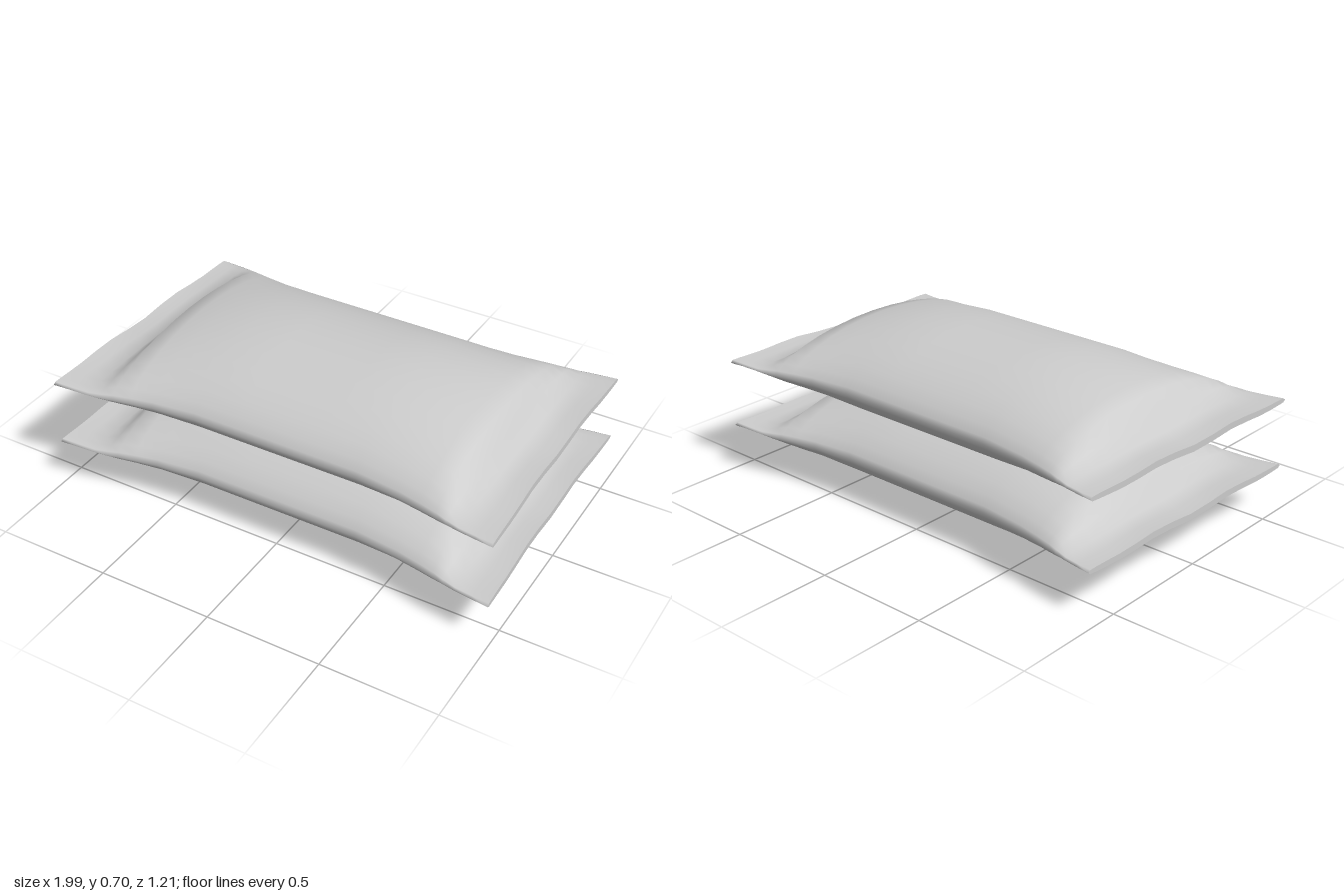
import * as THREE from 'three';

// Stations along x: [x, half height, half width in z, roundness power of the section]
const HALF = [
  [0, 0.203, 0.51, 1.3],
  [0.18, 0.203, 0.51, 1.3],
  [0.37, 0.203, 0.51, 1.3],
  [0.56, 0.175, 0.53, 1.3],
  [0.66, 0.157, 0.55, 1.3],
  [0.735, 0.137, 0.567, 1.3],
  [0.785, 0.07, 0.58, 1.1],
  [0.84, 0.018, 0.59, 0.7],
  [0.91, 0.011, 0.597, 0.4],
  [0.98, 0.014, 0.604, 0.3],
];
const SEGMENTS = 32;
const RIM_Y = 0.203;
const STACK_STEP = 0.29;

// Gentle waviness of the flat end seals, u runs -1..1 along z
const sealWave = (u, side) =>
  0.008 * Math.cos(u * 8 + side * 0.4) * (1 - u * u) * -1 - 0.005 * u * side;

function sackGeometry() {
  const stations = [
    ...HALF.slice(1).reverse().map(([x, ...rest]) => [-x, ...rest]),
    ...HALF,
  ];
  const positions = [];
  const index = [];

  // Cross-section rings, pinched towards the seals
  for (const [x, h, w, p] of stations) {
    const side = Math.sign(x);
    const seal = THREE.MathUtils.smoothstep(Math.abs(x), 0.78, 0.98);
    for (let j = 0; j < SEGMENTS; j++) {
      const a = (j / SEGMENTS) * Math.PI * 2;
      const u = Math.cos(a);
      const s = Math.sin(a);
      const y = Math.abs(s) < 1e-6 ? 0 : Math.sign(s) * h * Math.pow(Math.abs(s), p);
      const skew = side < 0 ? -0.02 * u : 0.012 * u * u - 0.006 + 0.003 * u;
      positions.push(x + seal * skew, RIM_Y + y + seal * sealWave(u, side), w * u);
    }
  }
  const rings = stations.length;
  for (let i = 0; i < rings - 1; i++) {
    for (let j = 0; j < SEGMENTS; j++) {
      const k = (j + 1) % SEGMENTS;
      const a = i * SEGMENTS + j, b = a + SEGMENTS;
      const c = i * SEGMENTS + k, d = c + SEGMENTS;
      index.push(a, b, c, b, d, c);
    }
  }

  // Thin end caps: strips between the upper and lower edge, with their own vertices
  for (const ring of [0, rings - 1]) {
    const start = positions.length / 3;
    const from = ring * SEGMENTS * 3;
    positions.push(...positions.slice(from, from + SEGMENTS * 3));
    for (let j = 0; j < SEGMENTS / 2; j++) {
      const up = start + j, upNext = start + j + 1;
      const low = start + ((SEGMENTS - j) % SEGMENTS), lowNext = start + SEGMENTS - j - 1;
      if (ring === 0) index.push(up, upNext, low, upNext, lowNext, low);
      else index.push(up, low, upNext, upNext, low, lowNext);
    }
  }

  const geometry = new THREE.BufferGeometry();
  geometry.setAttribute('position', new THREE.Float32BufferAttribute(positions, 3));
  geometry.setIndex(index);
  geometry.computeVertexNormals();
  return geometry;
}

export function createModel() {
  const model = new THREE.Group();
  model.name = 'stackedSacks';
  const material = new THREE.MeshStandardMaterial({ color: 0xcccccc });
  const geometry = sackGeometry();

  // Two equal sacks, the upper one sunk into the lower
  ['lowerSack', 'upperSack'].forEach((name, i) => {
    const sack = new THREE.Mesh(geometry, material);
    sack.name = name;
    sack.position.y = i * STACK_STEP;
    model.add(sack);
  });
  return model;
}
